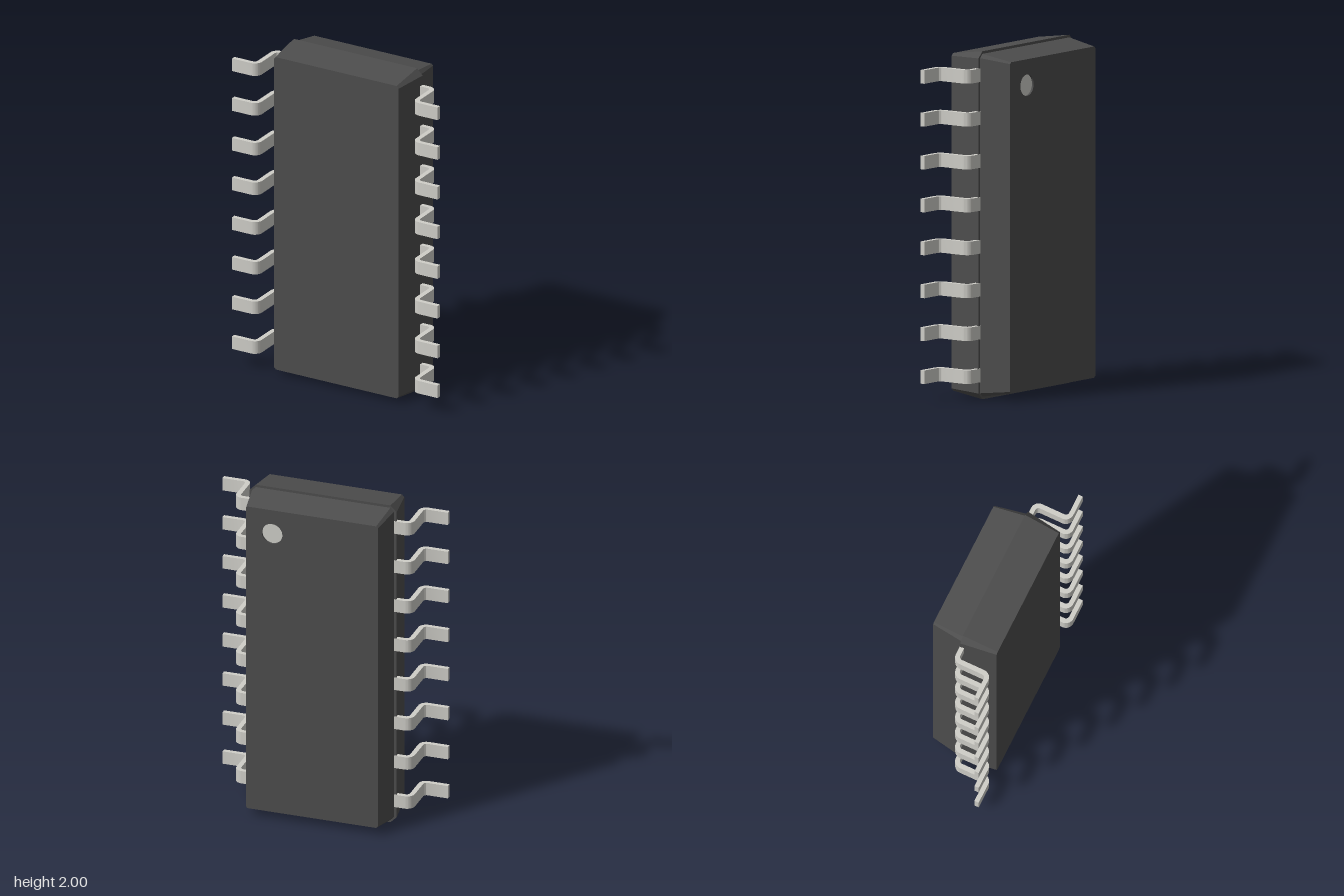
import * as THREE from 'three';
import { mergeGeometries, toCreasedNormals } from 'three/addons/utils/BufferGeometryUtils.js';

const bodyMaterial = new THREE.MeshStandardMaterial({ color: 0x4d4d4d });
const metalMaterial = new THREE.MeshStandardMaterial({ color: 0xcfcec8 });

const DOT = { x: 0.24, y: 1.803, r: 0.062, depth: 0.012 };
const SEAM = -0.022, FRONT = 0.194, BACK = -0.214;

// rectangle with cut corners, counter-clockwise, centred on y = 1
function outline(hx, hy, cut) {
  return [
    [hx, -hy + cut], [hx, hy - cut], [hx - cut, hy], [-hx + cut, hy],
    [-hx, hy - cut], [-hx, -hy + cut], [-hx + cut, -hy], [hx - cut, -hy],
  ].map(([x, y]) => new THREE.Vector2(x, y + 1));
}

// sloped walls between a rear outline and a front outline
function walls(rear, rearZ, front, frontZ) {
  const p = [];
  rear.forEach((a, i) => {
    const j = (i + 1) % rear.length;
    const b = rear[j], c = front[j], d = front[i];
    p.push(a.x, a.y, rearZ, b.x, b.y, rearZ, c.x, c.y, frontZ);
    p.push(a.x, a.y, rearZ, c.x, c.y, frontZ, d.x, d.y, frontZ);
  });
  const g = new THREE.BufferGeometry();
  g.setAttribute('position', new THREE.Float32BufferAttribute(p, 3));
  g.computeVertexNormals();
  return g;
}

// flat cap facing +z, or -z when facing back
function cap(points, z, back = false, hole = null) {
  const shape = new THREE.Shape(points);
  if (hole) shape.holes.push(hole);
  let g = new THREE.ShapeGeometry(shape, 32);
  if (back) g.rotateY(Math.PI);
  g.translate(0, 0, z);
  g = g.toNonIndexed();
  g.deleteAttribute('uv');
  return g;
}

// gull-wing lead: profile in x and z, extruded along y
function leadGeometry() {
  const s = new THREE.Shape();
  const xi = 0.509, xo = 0.538, zt = -0.025, zb = 0.21, t = 0.027;
  const R = 0.047, r = R - t;
  s.moveTo(0.4, zt);
  s.lineTo(xo - R, zt);
  s.absarc(xo - R, zt + R, R, -Math.PI / 2, 0, false);
  s.lineTo(xo, zb - t - r);
  s.absarc(xo + r, zb - t - r, r, Math.PI, Math.PI / 2, true);
  s.lineTo(0.68, zb - t);
  s.lineTo(0.68, zb);
  s.lineTo(xi + R, zb);
  s.absarc(xi + R, zb - R, R, Math.PI / 2, Math.PI, false);
  s.lineTo(xi, zt + t + r);
  s.absarc(xi - r, zt + t + r, r, 0, -Math.PI / 2, true);
  s.lineTo(0.4, zt + t);
  s.closePath();
  const height = 0.078;
  const g = new THREE.ExtrudeGeometry(s, { depth: height, bevelEnabled: false, curveSegments: 8 });
  g.translate(0, 0, -height / 2);
  g.rotateX(Math.PI / 2);
  return toCreasedNormals(g, 0.6);
}

export function createModel() {
  const model = new THREE.Group();
  const add = (name, geometry, material, parent = model) => {
    const mesh = new THREE.Mesh(geometry, material);
    mesh.name = name;
    parent.add(mesh);
    return mesh;
  };

  // front half of the casing, slightly larger at the seam
  const frontRim = outline(0.443, 1, 0.037);
  const frontFace = outline(0.413, 0.97, 0.014);
  add('frontCasing', mergeGeometries([
    walls(frontRim, SEAM, frontFace, FRONT),
    cap(frontFace, FRONT),
    cap(frontRim, SEAM, true),
  ]), bodyMaterial);

  // back half of the casing, with a round hole for the marker
  const backRim = outline(0.428, 0.985, 0.022);
  const backFace = outline(0.398, 0.952, 0.01);
  const hole = new THREE.Path().absarc(-DOT.x, DOT.y, DOT.r, 0, Math.PI * 2, true);
  add('backCasing', mergeGeometries([
    walls(backFace, BACK, backRim, SEAM),
    cap(backFace, BACK, true, hole),
  ]), bodyMaterial);

  // shallow round marker recess
  const marker = new THREE.Group();
  marker.name = 'markerRecess';
  marker.position.set(DOT.x, DOT.y, BACK);
  model.add(marker);
  const rimGeometry = new THREE.CylinderGeometry(DOT.r, DOT.r, DOT.depth, 64, 1, true);
  rimGeometry.rotateX(Math.PI / 2);
  const rimMaterial = bodyMaterial.clone();
  rimMaterial.side = THREE.DoubleSide;
  add('markerWall', rimGeometry, rimMaterial, marker).position.z = DOT.depth / 2;
  const floor = add('markerFloor', new THREE.CircleGeometry(DOT.r, 64), metalMaterial, marker);
  floor.rotation.y = Math.PI;
  floor.position.z = DOT.depth;

  // eight leads on each side
  const lead = leadGeometry();
  for (let i = 0; i < 8; i++) {
    const y = 0.14 + i * 0.2465;
    add('leftLead', lead, metalMaterial).position.y = y;
    const right = add('rightLead', lead, metalMaterial);
    right.position.y = y;
    right.rotation.z = Math.PI;
  }
  return model;
}
